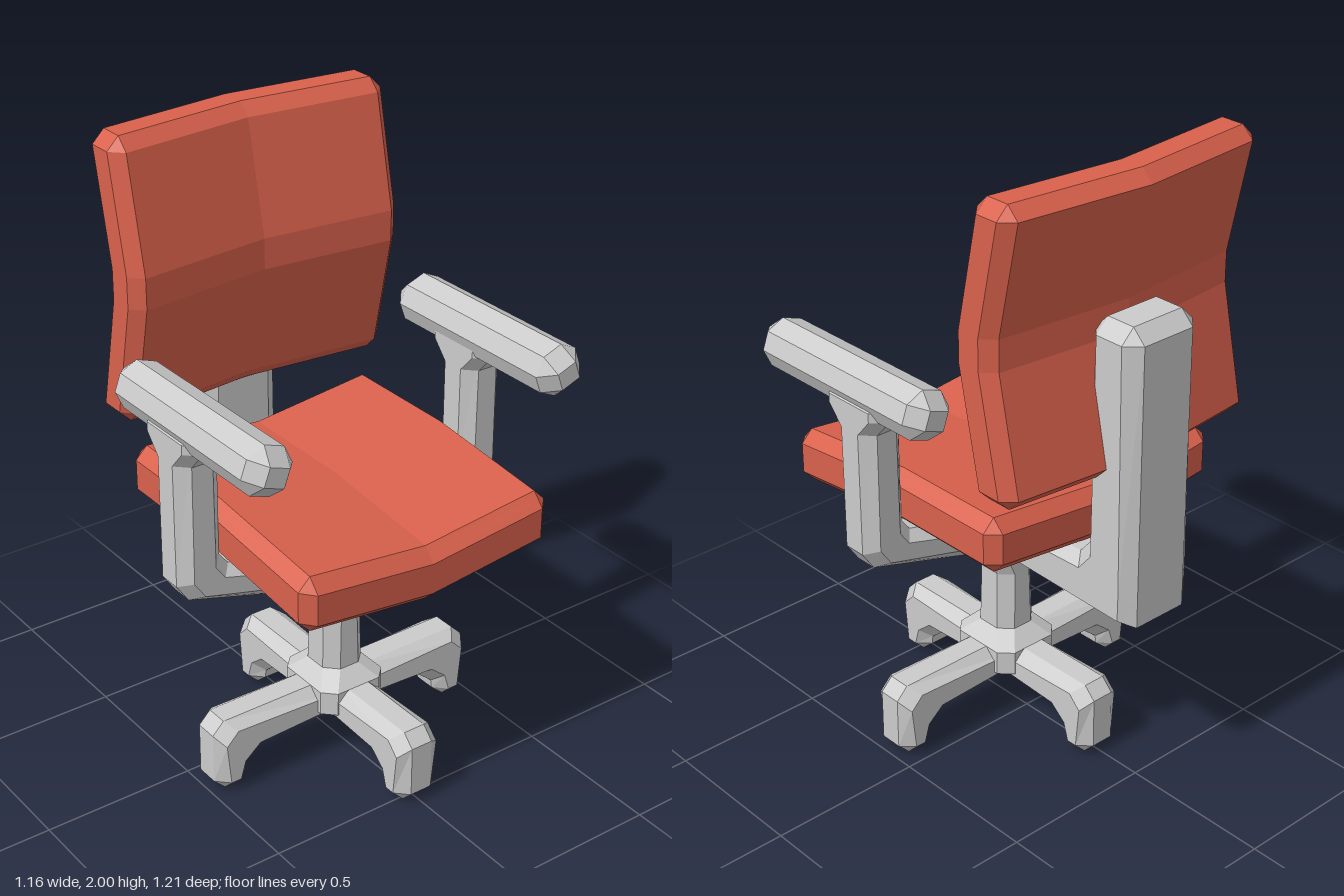
import * as THREE from 'three';

const GREY = new THREE.MeshStandardMaterial({ color: 0xcccccc, flatShading: true });
const RED = new THREE.MeshStandardMaterial({ color: 0xd9614c, flatShading: true });

function add(parent, name, geometry, material) {
  const mesh = new THREE.Mesh(geometry, material);
  mesh.name = name;
  parent.add(mesh);
  return mesh;
}

// Chamfered block on a grid of coordinates: the first and last gap of each list is the chamfer.
function slab(xs, ys, zs, bend) {
  const lists = [xs, ys, zs];
  const geo = new THREE.BoxGeometry(1, 1, 1, xs.length - 1, ys.length - 1, zs.length - 1);
  const pos = geo.attributes.position;
  const v = new THREE.Vector3();
  for (let i = 0; i < pos.count; i++) {
    v.fromBufferAttribute(pos, i);
    const index = v.toArray().map((c, a) => Math.round((c + 0.5) * (lists[a].length - 1)));
    const extremes = index.filter((k, a) => k === 0 || k === lists[a].length - 1).length;
    const inset = [0, 0, 1 / 2, 2 / 3][extremes];
    index.forEach((k, a) => {
      const l = lists[a], n = l.length - 1;
      let c = l[k];
      if (k === 0) c += (l[1] - l[0]) * inset;
      if (k === n) c -= (l[n] - l[n - 1]) * inset;
      v.setComponent(a, c);
    });
    if (bend) bend(v);
    pos.setXYZ(i, v.x, v.y, v.z);
  }
  const flat = geo.toNonIndexed();
  flat.computeVertexNormals();
  return flat;
}

// Eight-sided beam in the xy plane. Each rung is [leftPoint, rightPoint, width],
// left and right being relative to the direction of travel; both ends are chamfered.
function beam(rungs, width, c = 0.04) {
  const toward = (p, q) => {
    const d = Math.hypot(q[0] - p[0], q[1] - p[1]);
    return [p[0] + (q[0] - p[0]) * c / d, p[1] + (q[1] - p[1]) * c / d];
  };
  const step = (r, s) => [toward(r[0], s[0]), toward(r[1], s[1]), r[2]];
  const n = rungs.length;
  const all = [rungs[0], step(rungs[0], rungs[1]), ...rungs.slice(1, n - 1),
    step(rungs[n - 1], rungs[n - 2]), rungs[n - 1]];
  const verts = [], idx = [];
  all.forEach(([l, r, w = width], i) => {
    const shrink = i === 0 || i === all.length - 1 ? c : 0;
    const t = Math.hypot(l[0] - r[0], l[1] - r[1]) / 2;
    const a = t - shrink, d = t - c, b = w / 2 - shrink, e = w / 2 - c;
    const section = [[a, -e], [a, e], [d, b], [-d, b], [-a, e], [-a, -e], [-d, -b], [d, -b]];
    for (const [p, q] of section) {
      const f = (p / t + 1) / 2;
      verts.push(r[0] + (l[0] - r[0]) * f, r[1] + (l[1] - r[1]) * f, q);
    }
  });
  for (let i = 0; i < all.length - 1; i++) {
    for (let k = 0; k < 8; k++) {
      const p = i * 8 + k, q = i * 8 + (k + 1) % 8;
      idx.push(p, q, q + 8, p, q + 8, p + 8);
    }
  }
  const last = (all.length - 1) * 8;
  for (let k = 1; k < 7; k++) idx.push(0, k + 1, k, last, last + k, last + k + 1);
  const geo = new THREE.BufferGeometry();
  geo.setAttribute('position', new THREE.Float32BufferAttribute(verts, 3));
  geo.setIndex(idx);
  const flat = geo.toNonIndexed();
  flat.computeVertexNormals();
  return flat;
}

// Upright beam from [halfDepth, y, width] levels.
const tower = (levels) => beam(levels.map(([r, y, w]) => [[-r, y], [r, y], w]), 0.15);

export function createModel() {
  const chair = new THREE.Group();
  chair.name = 'officeChair';
  const axis = 0.1; // x of the centre column

  // Seat: dished across, front half sloping down
  add(chair, 'seat', slab(
    [-0.35, -0.31, 0.09, 0.54, 0.58],
    [0.78, 0.82, 0.92, 0.96],
    [-0.453, -0.413, 0, 0.413, 0.453],
    (v) => { v.y += 0.045 * Math.min(1, Math.abs(v.z) / 0.41) - 0.1 * Math.max(0, v.x - 0.09); }
  ), RED);

  // Backrest: curved across and pushed forward at the middle height
  add(chair, 'backrest', slab(
    [-0.5, -0.46, -0.38, -0.34],
    [1.09, 1.13, 1.5, 1.6, 1.96, 2.0],
    [-0.488, -0.448, 0, 0.448, 0.488],
    (v) => {
      const lumbar = 1 - Math.min(1, Math.max(0, Math.abs(v.y - 1.55) - 0.05) / 0.36);
      v.x += 0.045 * Math.min(1, Math.abs(v.z) / 0.45) + 0.078 * lumbar;
    }
  ), RED);

  // L-shaped bracket under the seat and up the back
  add(chair, 'backSupport', beam([
    [[0.35, 0.62], [0.35, 0.78]],
    [[-0.58, 0.62], [-0.34, 0.78]],
    [[-0.58, 0.7], [-0.39, 0.84]],
    [[-0.58, 1.58], [-0.39, 1.58]],
  ], 0.28, 0.045), GREY);

  // Column with flares at the base and under the seat
  add(chair, 'column', tower([
    [0.08, 0.12, 0.16], [0.13, 0.17, 0.24], [0.13, 0.25, 0.24], [0.08, 0.3, 0.15], [0.077, 0.5, 0.14],
    [0.077, 0.57, 0.2], [0.12, 0.63, 0.34], [0.12, 0.7, 0.34],
  ]), GREY).position.x = axis;

  // Four legs with turned-down feet
  for (let i = 0; i < 4; i++) {
    const extra = i % 2 ? 0.04 : 0;
    const leg = add(chair, 'leg', beam([
      [[0, 0.25], [0, 0.12]],
      [[0.41 + extra, 0.25], [0.27 + extra, 0.12]],
      [[0.45 + extra, 0.21], [0.33 + extra, 0.07]],
      [[0.45 + extra, 0], [0.34 + extra, 0]],
    ], 0.155), GREY);
    leg.position.x = axis;
    leg.rotation.y = i * Math.PI / 2;
  }

  // Armrests, one on each side
  for (const side of [1, -1]) {
    const arm = new THREE.Group();
    arm.name = side > 0 ? 'leftArmrest' : 'rightArmrest';
    chair.add(arm);

    const post = add(arm, 'armPost', beam([
      [[0, 0.74], [0, 0.58]],
      [[0.13, 0.74], [0.18, 0.62]],
      [[0.42, 0.81], [0.56, 0.73]],
      [[0.45, 0.85], [0.6, 0.79]],
      [[0.45, 1.3], [0.6, 1.3]],
    ], 0.155), GREY);
    post.position.x = axis;
    post.rotation.y = -side * Math.PI / 2;

    add(arm, 'armFlare', tower([[0.06, 1.13], [0.077, 1.19], [0.13, 1.25], [0.13, 1.32]]), GREY)
      .position.set(axis, 0, side * 0.525);

    const pad = add(arm, 'armPad', slab(
      [-0.372, -0.322, 0.322, 0.372],
      [-0.075, -0.03, 0.03, 0.075],
      [-0.08, -0.035, 0.035, 0.08]
    ), GREY);
    pad.position.set(0.172, 1.31, side * 0.522);
    pad.rotation.x = -side * 0.35;
  }
  return chair;
}
